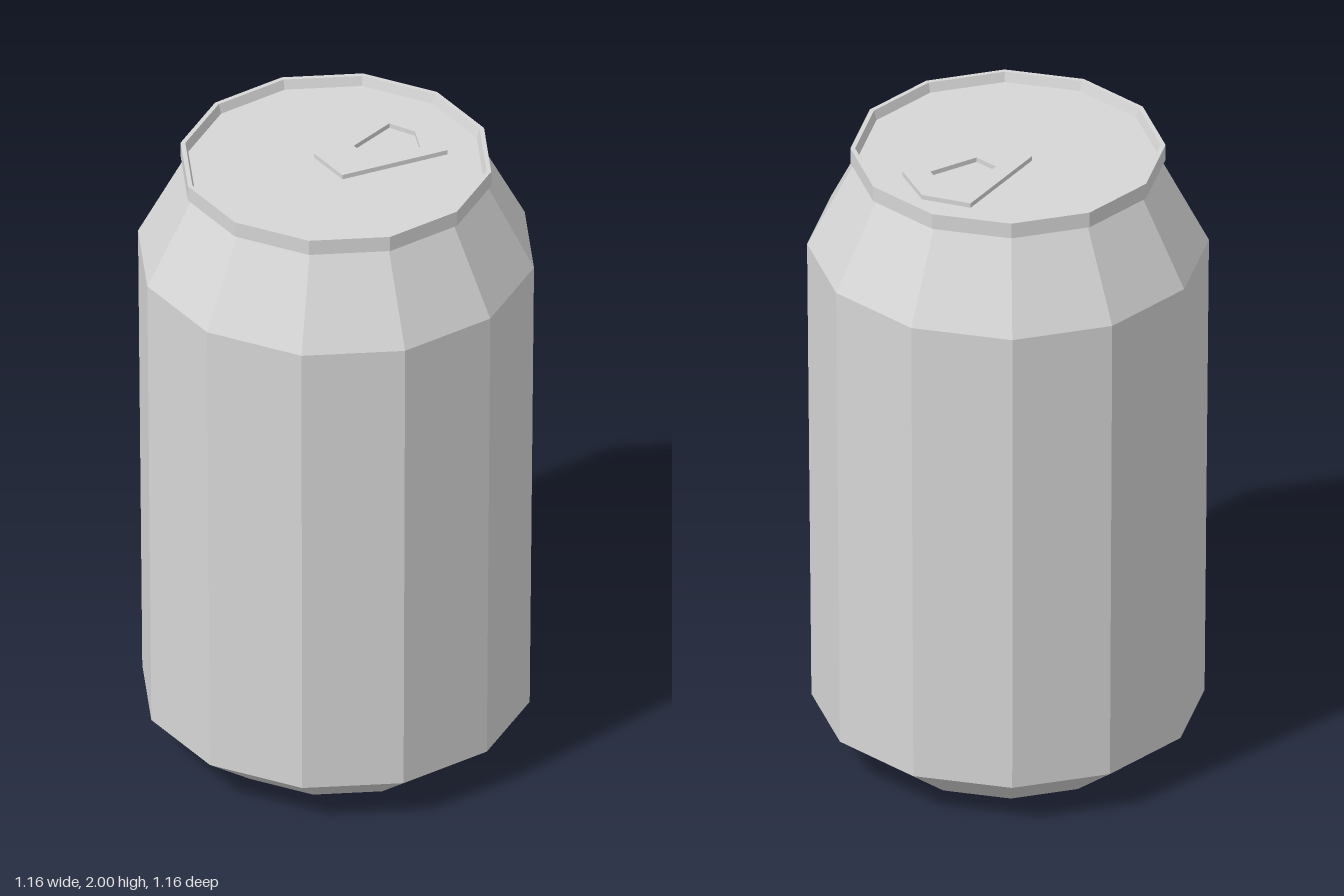
import * as THREE from 'three';

const SIDES = 12;

export function createModel() {
  const group = new THREE.Group();
  const aluminium = new THREE.MeshStandardMaterial({ color: 0xd6d6d6, flatShading: true });
  aluminium.name = 'aluminium';

  const add = (name, geometry) => {
    const mesh = new THREE.Mesh(geometry, aluminium);
    mesh.name = name;
    group.add(mesh);
    return mesh;
  };
  // Twelve-sided ring, turned so that a flat side faces the front
  const turned = (name, profile) => add(name, new THREE.LatheGeometry(
    profile.map(([r, y]) => new THREE.Vector2(r, y)), SIDES, Math.PI / SIDES));

  // Can shell, from the base outwards and up
  turned('base', [[0, 0], [0.4, 0], [0.585, 0.14]]);
  turned('wall', [[0.585, 0.14], [0.598, 1.675]]);
  turned('shoulder', [[0.598, 1.675], [0.456, 1.95]]);
  turned('rim', [[0.456, 1.95], [0.469, 1.95], [0.469, 2], [0.455, 2], [0.446, 1.97]]);
  turned('lid', [[0.446, 1.97], [0, 1.97]]);

  // Pull tab: pentagonal plate with a pentagonal hole, points as [x, -z]
  const points = (list) => list.map(([x, y]) => new THREE.Vector2(x, y));
  const outline = new THREE.Shape(points(
    [[-0.073, -0.028], [0.073, -0.028], [0.14, 0.307], [0, 0.37], [-0.14, 0.307]]));
  outline.holes.push(new THREE.Path(points(
    [[-0.04, 0.093], [-0.08, 0.25], [0, 0.287], [0.08, 0.25], [0.04, 0.093]])));
  const tab = new THREE.ExtrudeGeometry(outline, { depth: 0.015, bevelEnabled: false });
  tab.rotateX(-Math.PI / 2);
  add('pullTab', tab).position.y = 1.97;

  return group;
}
